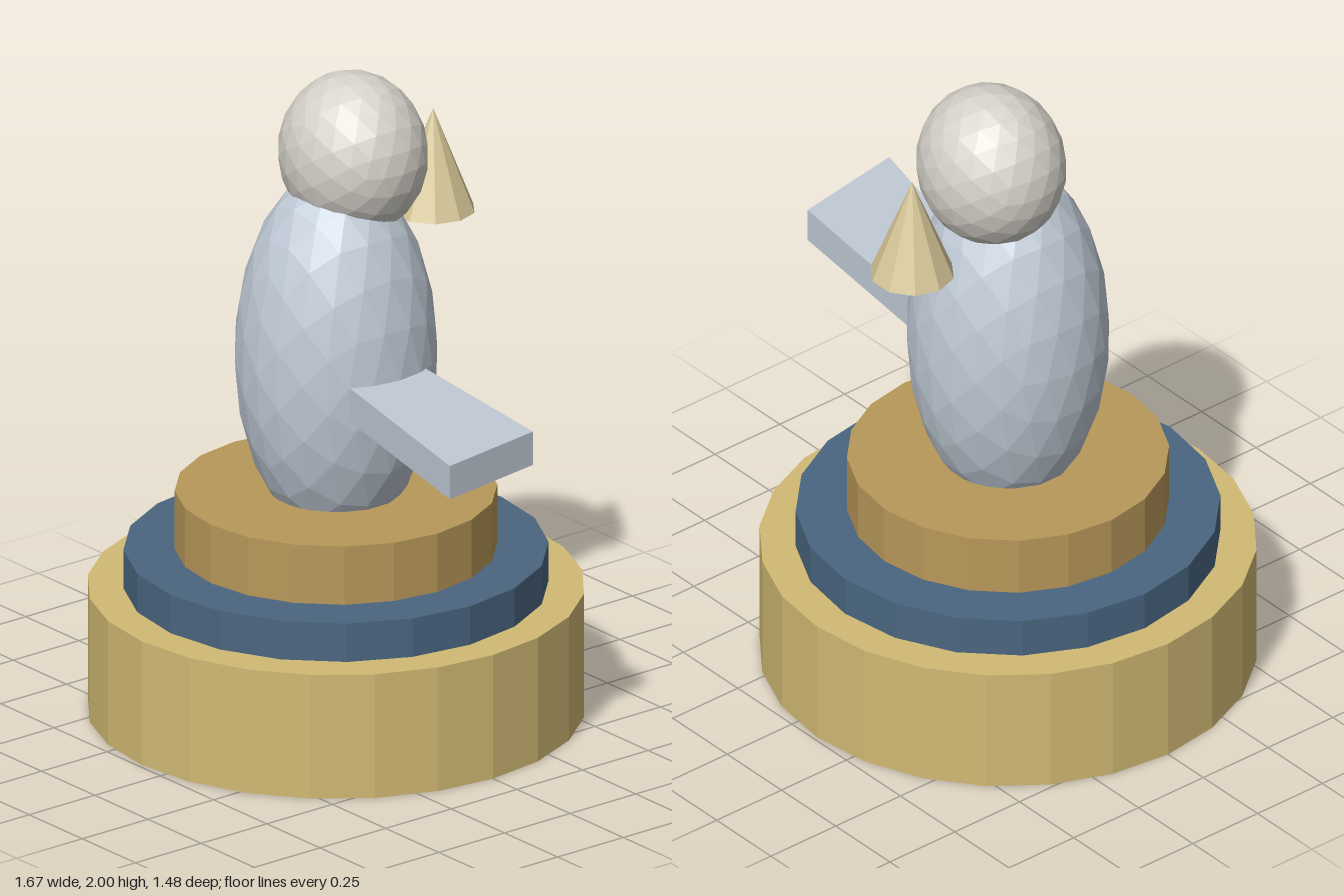
import * as THREE from 'three';

const AXIS_X = -0.1; // the trophy's vertical axis; the slab sticks out to +x

function material(name, color) {
  const m = new THREE.MeshStandardMaterial({ color, flatShading: true });
  m.name = name;
  return m;
}

export function createModel() {
  const group = new THREE.Group();
  group.name = 'statuette';

  const gold = material('gold', 0xd2ba74);
  const blue = material('slate blue', 0x4a6680);
  const bronze = material('bronze', 0xb8985a);
  const silver = material('silver', 0xc0cad6);
  const ivory = material('ivory', 0xd6d2ca);
  const straw = material('straw', 0xd8c898);

  const add = (name, geometry, mat, x, y, z) => {
    const mesh = new THREE.Mesh(geometry, mat);
    mesh.name = name;
    mesh.position.set(x, y, z);
    group.add(mesh);
    return mesh;
  };

  // Stepped round pedestal: name, material, radius, bottom, top, sides
  const tiers = [
    ['pedestalBase', gold, 0.738, 0, 0.393, 24],
    ['pedestalBand', blue, 0.63, 0.393, 0.515, 20],
    ['pedestalTop', bronze, 0.478, 0.515, 0.7, 20],
  ];
  for (const [name, mat, r, y0, y1, sides] of tiers) {
    add(name, new THREE.CylinderGeometry(r, r, y1 - y0, sides), mat, AXIS_X, (y0 + y1) / 2, 0);
  }

  // Faceted egg-shaped body and head
  const ellipsoid = (rx, ry, rz) => new THREE.IcosahedronGeometry(1, 3).scale(rx, ry, rz);
  add('body', ellipsoid(0.302, 0.58, 0.302), silver, AXIS_X, 1.13, 0);
  add('head', ellipsoid(0.236, 0.25, 0.216), ivory, AXIS_X, 1.75, -0.065);

  // Flat slab flaring outward from the body (plan outline as x, -z)
  const plan = new THREE.Shape([
    new THREE.Vector2(0, -0.117),
    new THREE.Vector2(0.832, -0.322),
    new THREE.Vector2(0.77, 0.045),
    new THREE.Vector2(0, 0.141),
  ]);
  const slab = new THREE.ExtrudeGeometry(plan, { depth: 0.106, bevelEnabled: false });
  slab.rotateX(-Math.PI / 2);
  add('sideSlab', slab, silver, 0, 1.027, 0);

  // Small ten-sided cone behind the head
  const cone = new THREE.ConeGeometry(0.127, 0.32, 10).rotateY(Math.PI / 2);
  add('rearCone', cone, straw, AXIS_X, 1.655, -0.37);

  return group;
}
